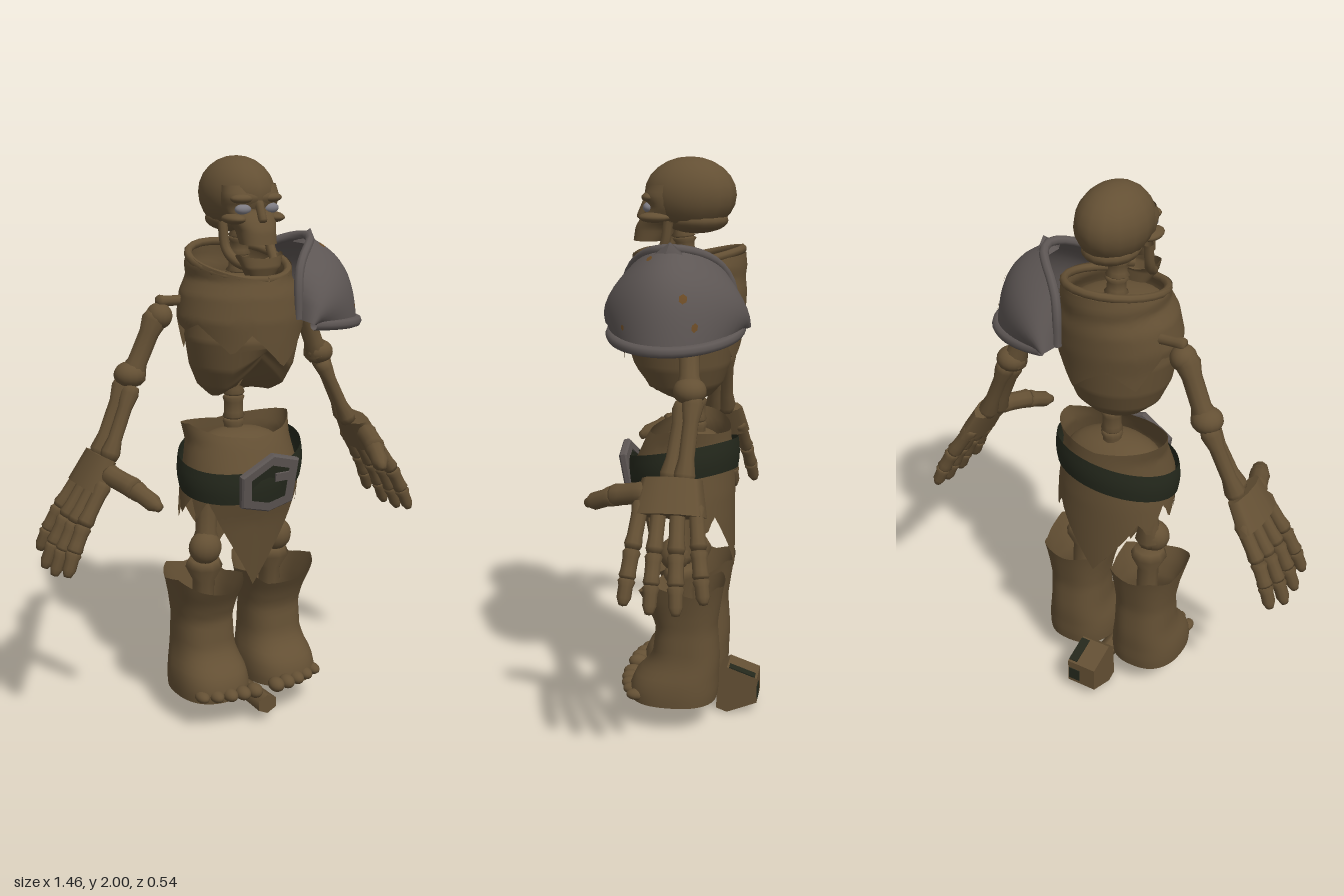
import * as THREE from 'three';
import { mergeVertices } from 'three/addons/utils/BufferGeometryUtils.js';

const mat = (name, color) => new THREE.MeshStandardMaterial({ name, color, side: THREE.DoubleSide });
const V = (x, y, z) => new THREE.Vector3(x, y, z);
const clamp = (t) => Math.min(1, Math.max(0, t));

// Grid surface from a rule f(u, v) -> [x, y, z], welded for smooth normals
function surface(nu, nv, f) {
  const pos = [], idx = [];
  for (let j = 0; j <= nv; j++) for (let i = 0; i <= nu; i++) pos.push(...f(i / nu, j / nv));
  for (let j = 0; j < nv; j++) for (let i = 0; i < nu; i++) {
    const a = j * (nu + 1) + i, b = a + 1, c = b + nu + 1, d = a + nu + 1;
    idx.push(a, b, c, a, c, d);
  }
  let g = new THREE.BufferGeometry();
  g.setAttribute('position', new THREE.Float32BufferAttribute(pos, 3));
  g.setIndex(idx);
  g = mergeVertices(g, 1e-5);
  g.computeVertexNormals();
  return g;
}

// Interpolates rows of [key, ...values]
function sample(rows, k) {
  let i = 0;
  while (i < rows.length - 2 && k > rows[i + 1][0]) i++;
  const a = rows[i], b = rows[i + 1], t = clamp((k - a[0]) / (b[0] - a[0]));
  return a.slice(1).map((q, n) => q + (b[n + 1] - q) * t);
}

// Upright shell: profile rows [y, halfWidth, frontZ, backZ]; ragged edges as [degrees, y]
function shell(profile, bottom, top, cx = 0, square = 1, nu = 48, nv = 16) {
  const edge = (e, d) => typeof e === 'number' ? e : sample(e, e[e.length - 1][0] > 180 ? d : Math.min(d, 360 - d))[0];
  return surface(nu, nv, (u, v) => {
    const d = (u % 1) * 360, a = d * Math.PI / 180;
    const lo = edge(bottom, d), y = lo + (edge(top, d) - lo) * v;
    const [rx, zf, zb] = sample(profile, y);
    const pw = (t) => Math.sign(t) * Math.pow(Math.abs(t), square);
    return [cx + rx * pw(Math.sin(a)), y, (zf + zb) / 2 + (zf - zb) / 2 * pw(Math.cos(a))];
  });
}

export function createModel() {
  const root = new THREE.Group();
  const bone = mat('bone brown', 0x645034), steel = mat('dull steel', 0x5d5654), rust = mat('rust', 0x6b4b26);
  const leather = mat('dark leather', 0x24281c), eyeMat = mat('pale eye', 0x7d7b82);

  const add = (name, geo, m = bone, p = [0, 0, 0], s = [1, 1, 1], r = [0, 0, 0]) => {
    const o = new THREE.Mesh(geo, m);
    o.name = name;
    o.position.set(...p); o.scale.set(...s); o.rotation.set(...r);
    root.add(o);
    return o;
  };
  const ball = (name, p, s, m = bone) => add(name, new THREE.SphereGeometry(1, 16, 12), m, p, s);
  const box = (name, p, s, m = bone, r) => add(name, new THREE.BoxGeometry(...s), m, p, [1, 1, 1], r);
  const tube = (name, pts, r, m = bone) =>
    add(name, new THREE.TubeGeometry(new THREE.CatmullRomCurve3(pts.map((p) => V(...p))), 24, r, 8), m);
  // Long bone with a knob at each end
  const limb = (name, a, b, r, k0 = r, k1 = r) => {
    const A = V(...a), d = V(...b).sub(A), L = d.length();
    const pts = [[0, 0], [k0 * 0.8, L * 0.03], [k0, L * 0.12], [r, L * 0.3], [r, L * 0.7], [k1, L * 0.88], [k1 * 0.8, L * 0.97], [0, L]];
    const o = add(name, new THREE.LatheGeometry(pts.map((p) => new THREE.Vector2(...p)), 10), bone, a);
    o.quaternion.setFromUnitVectors(V(0, 1, 0), d.normalize());
  };

  // Skull
  ball('cranium', [0, 1.875, -0.01], [0.122, 0.125, 0.158]);
  add('face', shell([[1.72, 0.062, 0.185, 0.08], [1.765, 0.066, 0.178, 0.05], [1.8, 0.085, 0.158, 0], [1.835, 0.1, 0.13, 0], [1.87, 0.105, 0.148, 0], [1.91, 0.1, 0.125, 0]], 1.72, 1.91, 0, 0.85));
  ball('skullBase', [0, 1.79, -0.03], [0.095, 0.045, 0.11]);
  limb('noseBone', [0, 1.86, 0.135], [0, 1.79, 0.165], 0.015);
  for (const s of [-1, 1]) {
    ball('eye', [s * 0.053, 1.834, 0.123], [0.03, 0.018, 0.02], eyeMat);
    ball('brow', [s * 0.052, 1.868, 0.118], [0.045, 0.017, 0.03]);
    ball('cheekbone', [s * 0.075, 1.802, 0.1], [0.036, 0.018, 0.055]);
    tube('jawSide', [[s * 0.09, 1.79, 0.05], [s * 0.086, 1.7, 0.07], [s * 0.07, 1.66, 0.12], [s * 0.03, 1.645, 0.165]], 0.017);
  }
  add('chin', shell([[1.605, 0.045, 0.175, 0.11], [1.645, 0.07, 0.19, 0.11], [1.685, 0.085, 0.185, 0.09]], 1.605, [[0, 1.675], [90, 1.69], [180, 1.65]], 0, 0.8));

  // Spine
  for (let i = 0; i < 4; i++) limb('neckVertebra', [0, 1.55 + i * 0.06, -0.01 + i * 0.008], [0, 1.615 + i * 0.06, -0.005 + i * 0.008], 0.033, 0.042, 0.042);
  for (let i = 0; i < 3; i++) limb('backVertebra', [0, 1.0 + i * 0.085, -0.03], [0, 1.09 + i * 0.085, -0.03], 0.034, 0.04, 0.04);

  // Rib cage with a notch below the breastbone
  const ribs = shell([[1.18, 0.005, 0.03, -0.03], [1.19, 0.11, 0.1, -0.09], [1.23, 0.155, 0.155, -0.125], [1.3, 0.185, 0.195, -0.15], [1.4, 0.203, 0.215, -0.16], [1.5, 0.19, 0.19, -0.16]], 1.18, 1.5, 0, 1, 48, 32);
  const rp = ribs.attributes.position;
  for (let i = 0; i < rp.count; i++) {
    const x = rp.getX(i), y = rp.getY(i), z = rp.getZ(i);
    rp.setY(i, y + 0.1 * clamp(1 - Math.abs(x) / 0.11) * clamp((1.38 - y) / 0.12) * clamp((z + 0.03) / 0.1));
  }
  ribs.computeVertexNormals();
  add('ribCage', ribs);

  // Torn cowl with a raised collar
  const cowlHem = [[0, 1.36], [14, 1.31], [30, 1.36], [50, 1.43], [70, 1.39], [90, 1.45], [115, 1.38], [135, 1.44], [160, 1.32], [180, 1.38], [200, 1.42], [225, 1.34], [250, 1.45], [270, 1.43], [290, 1.46], [310, 1.4], [322, 1.36], [340, 1.43], [360, 1.36]];
  add('cowl', shell([[1.3, 0.205, 0.22, -0.18], [1.4, 0.21, 0.228, -0.19], [1.47, 0.222, 0.232, -0.2], [1.55, 0.205, 0.222, -0.205], [1.6, 0.175, 0.205, -0.2], [1.64, 0.178, 0.2, -0.205], [1.69, 0.16, 0.18, -0.2]], cowlHem, [[0, 1.6], [40, 1.625], [90, 1.665], [180, 1.685]], 0, 1, 72, 20));
  add('cowlLining', new THREE.SphereGeometry(1, 24, 12, 0, Math.PI * 2, 0, Math.PI / 2), bone, [0, 1.55, 0], [0.175, 0.06, 0.19]);
  tube('collarRoll', Array.from({ length: 17 }, (_, i) => {
    const a = i * Math.PI / 8, c = Math.cos(a);
    return [0.165 * Math.sin(a), 1.65 - 0.045 * c, 0.19 * c];
  }), 0.014);

  // Shoulder plate: a quarter dome between a neck arch and an outer rim
  const inner = (t) => { const s = Math.max(Math.sin(t), 0); return [0.12 + 0.15 * s ** 3, 1.465 + 0.255 * s ** 0.65, 0.01 + 0.19 * Math.cos(t)]; };
  const outer = (t) => { const s = Math.sin(t); return [0.165 + 0.293 * s, 1.445 - 0.028 * s, 0.01 + 0.215 * Math.cos(t)]; };
  const plate = (u, v, lift = 0) => {
    const t = u * Math.PI, a = inner(t), b = outer(t), w = Math.sin(v * Math.PI);
    const n = [0.7 * Math.sin(t), 0.5, 0.7 * Math.cos(t)];
    const bulge = [0.04 * Math.sin(t), 0.045 * Math.sin(t), 0.045 * Math.cos(t)];
    return a.map((q, k) => q + (b[k] - q) * v + bulge[k] * w + n[k] * lift);
  };
  add('shoulderPlate', surface(28, 12, (u, v) => plate(u, v)), steel);
  const arc = (f) => Array.from({ length: 13 }, (_, i) => f(i * Math.PI / 12));
  tube('plateNeckRim', arc(inner), 0.016, steel);
  tube('plateOuterRim', arc(outer), 0.019, steel);
  add('platePeak', new THREE.ConeGeometry(0.03, 0.06, 5), steel, [0.28, 1.715, 0.01], [1, 1, 2.5], [0, 0, -0.3]);
  // Small rust flakes lying on the plate: [u, v, size]
  for (const [u0, v0, r] of [[0.58, 0.6, 0.018], [0.64, 0.83, 0.015], [0.4, 0.14, 0.016], [0.3, 0.85, 0.01]])
    add('rustFlake', surface(6, 3, (u, v) => plate(u0 + r * v * Math.sin(u * Math.PI * 2), v0 + 2.5 * r * v * Math.cos(u * Math.PI * 2), 0.004)), rust);

  // Hips: torn cloth wrap, open at the top
  const wrap = [[0.5, 0.2, 0.105, -0.17], [0.75, 0.225, 0.15, -0.17], [0.85, 0.222, 0.18, -0.17], [0.93, 0.212, 0.19, -0.165], [1.03, 0.195, 0.145, -0.155], [1.1, 0.208, 0.1, -0.15]];
  add('hipWrap', shell(wrap, [[0, 0.5], [45, 0.79], [55, 0.84], [66, 0.76], [74, 0.85], [92, 0.77], [104, 0.85], [122, 0.72], [134, 0.79], [150, 0.7], [180, 0.55]], [[0, 1.05], [40, 1.065], [75, 1.1], [110, 1.09], [180, 1.06]], 0, 1, 72, 20));
  add('pelvis', new THREE.SphereGeometry(1, 24, 12), bone, [0, 0.96, -0.01], [0.19, 0.1, 0.13]);

  // Belt, tilted, with a buckle
  add('belt', surface(48, 4, (u, v) => {
    const a = (u % 1) * Math.PI * 2, x = 0.225 * Math.sin(a), z = 0.012 + 0.192 * Math.cos(a), w = 1 + 0.03 * Math.sin(v * Math.PI);
    return [x * w, 0.89 + v * 0.11 + 0.15 * x - 0.2 * z, z * w];
  }), leather);
  const outline = [[-0.11, 0.04], [0.01, 0.11], [0.115, 0.08], [0.105, -0.08], [0.01, -0.105], [-0.1, -0.075]];
  const points = (k) => outline.map(([x, y]) => new THREE.Vector2(x * k, y * k));
  const ring = new THREE.Shape(points(0.95));
  ring.holes.push(new THREE.Path(points(0.66)));
  const tilt = [0.16, 0, 0];
  add('buckle', new THREE.ExtrudeGeometry(ring, { depth: 0.016, bevelSize: 0.006, bevelThickness: 0.006, bevelSegments: 1 }), steel, [0, 0.905, 0.192], [1, 1, 1], tilt);
  add('buckleLeather', new THREE.ExtrudeGeometry(new THREE.Shape(points(0.8)), { depth: 0.008, bevelEnabled: false }), leather, [0, 0.905, 0.197], [1, 1, 1], tilt);
  box('bucklePin', [0.06, 0.925, 0.208], [0.07, 0.03, 0.016], steel, tilt);

  for (const s of [-1, 1]) {
    // Arm
    limb('shoulderBlade', [s * 0.17, 1.52, -0.05], [s * 0.29, 1.525, -0.05], 0.018, 0.022, 0.022);
    ball('shoulderJoint', [s * 0.28, 1.475, -0.05], [0.045, 0.045, 0.048]);
    limb('upperArm', [s * 0.285, 1.49, -0.05], [s * 0.39, 1.25, -0.07], 0.034, 0.044, 0.05);
    ball('elbow', [s * 0.385, 1.28, -0.07], [0.055, 0.045, 0.055]);
    limb('forearmOuter', [s * 0.395, 1.27, -0.085], [s * 0.515, 1.0, -0.07], 0.026, 0.036, 0.036);
    limb('forearmInner', [s * 0.385, 1.25, -0.05], [s * 0.5, 1.0, -0.02], 0.024, 0.032, 0.034);
    // Hand
    add('palm', new THREE.CylinderGeometry(0.085, 0.105, 0.12, 10), bone, [s * 0.545, 0.97, -0.035], [0.42, 1, 1.15], [0, 0, s * 0.5]);
    for (let i = 0; i < 4; i++) {
      const z0 = -0.12 + i * 0.06, z1 = -0.165 + i * 0.085, len = [0.88, 1, 1, 0.93][i];
      const at = (t) => [s * (0.562 + 0.155 * t * len + 0.015 * Math.sin(t * 3)), 0.935 - 0.295 * t * len, z0 + (z1 - z0) * t];
      limb('fingerBase', at(-0.08), at(0.42), 0.025, 0.029, 0.029);
      limb('fingerMiddle', at(0.4), at(0.72), 0.025, 0.029, 0.028);
      limb('fingerTip', at(0.7), at(1), 0.023, 0.028, 0.016);
    }
    limb('thumbBase', [s * 0.53, 0.98, 0.04], [s * 0.485, 0.95, 0.17], 0.035, 0.038, 0.037);
    limb('thumbTip', [s * 0.488, 0.952, 0.155], [s * 0.445, 0.905, 0.265], 0.03, 0.035, 0.018);

    // Leg
    limb('thighBone', [s * 0.12, 0.92, -0.01], [s * 0.14, 0.6, 0.01], 0.038, 0.05, 0.055);
    ball('knee', [s * 0.147, 0.64, 0.02], [0.06, 0.06, 0.055]);
    limb('shinBone', [s * 0.14, 0.6, 0], [s * 0.14, 0.3, -0.02], 0.04, 0.068, 0.04);
    // Boot with bare toes
    const cx = s * 0.142;
    const peaks = s > 0 ? [[0, 0.5], [35, 0.52], [75, 0.555], [110, 0.52], [150, 0.55], [180, 0.53], [215, 0.55], [250, 0.5], [285, 0.53], [320, 0.49], [360, 0.5]]
      : [[0, 0.5], [40, 0.49], [75, 0.53], [110, 0.5], [145, 0.55], [180, 0.53], [210, 0.55], [250, 0.52], [285, 0.555], [325, 0.52], [360, 0.5]];
    add('boot', shell([[0.105, 0.133, 0.18, -0.13], [0.14, 0.135, 0.185, -0.135], [0.19, 0.13, 0.165, -0.135], [0.23, 0.118, 0.125, -0.138], [0.27, 0.11, 0.1, -0.138], [0.38, 0.106, 0.088, -0.13], [0.45, 0.115, 0.115, -0.14], [0.51, 0.128, 0.15, -0.15], [0.555, 0.14, 0.165, -0.16]], 0.105, peaks, cx, 0.82, 48, 18));
    add('sole', shell([[0.104, 0.002, 0.03, 0.02], [0.106, 0.133, 0.18, -0.13]], 0.104, 0.106, cx, 0.82, 48, 1));
    for (let i = 0; i < 5; i++) ball('toe', [s * (0.046 + i * 0.047), 0.132, 0.196 - i * i * 0.003], [0.028 - i * 0.001, 0.026 - i * 0.0015, 0.036]);
  }

  // Mallet lying under the feet
  add('malletHandle', new THREE.CylinderGeometry(0.042, 0.034, 0.34, 6), bone, [0, 0.071, 0.04], [1, 1, 0.85], [Math.PI / 2, 0, 0]);
  const head = new THREE.Shape([[0.115, 0.015], [0.155, 0], [0.265, 0.045], [0.265, 0.14], [0.155, 0.178], [0.125, 0.155]].map((p) => new THREE.Vector2(...p)));
  add('malletHead', new THREE.ExtrudeGeometry(head, { depth: 0.115, bevelEnabled: false }), bone, [-0.0575, 0, 0], [1, 1, 1], [0, Math.PI / 2, 0]);
  box('malletTopPatch', [0.04, 0.1605, -0.21], [0.034, 0.006, 0.1], leather, [-0.333, 0, 0]);
  box('malletBackPatch', [0.03, 0.085, -0.265], [0.045, 0.05, 0.006], leather);
  return root;
}
